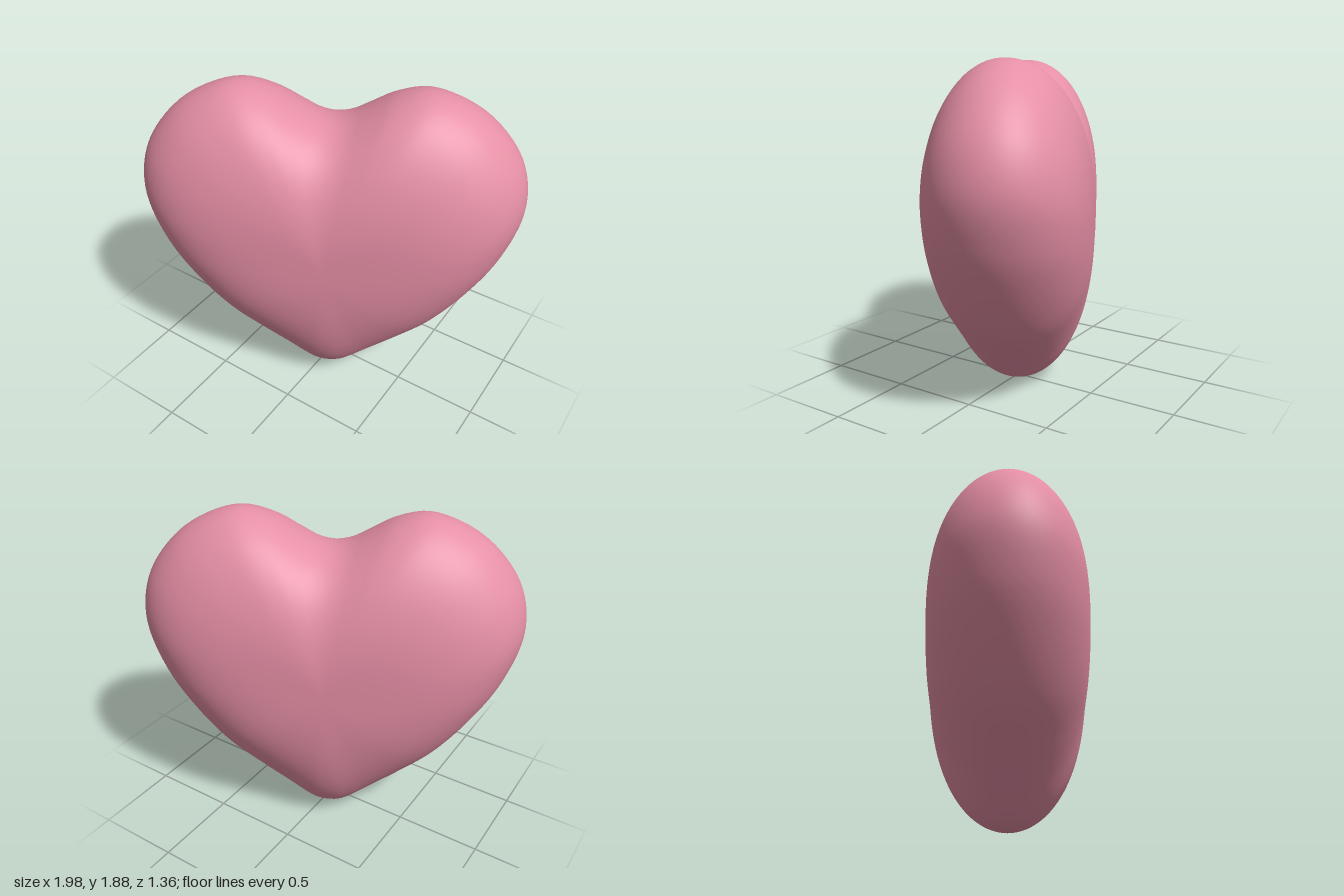
import * as THREE from 'three';
import { mergeVertices } from 'three/addons/utils/BufferGeometryUtils.js';

// Half of the heart outline, from the tip up the side and over to the notch
const HALF = [
  [0, 0], [0.08, 0.015], [0.16, 0.065], [0.26, 0.145], [0.44, 0.29], [0.65, 0.48],
  [0.86, 0.76], [0.99, 1.0], [1.06, 1.27], [1.015, 1.5], [0.87, 1.7], [0.71, 1.815],
  [0.51, 1.88], [0.34, 1.845], [0.21, 1.775], [0.1, 1.715], [0, 1.695],
];
const CENTRE_Y = 1.0;
const HALF_DEPTH = 0.45;

function heartGeometry(around = 160, across = 64) {
  // Mirror the half outline into a closed smooth curve
  const mirrored = HALF.slice(1, -1).reverse().map(([x, y]) => [-x, y]);
  const points = [...HALF, ...mirrored].map(([x, y]) => new THREE.Vector3(x, y, 0));
  const outline = new THREE.CatmullRomCurve3(points, true).getSpacedPoints(around);

  // Shrink the outline toward the centre while it swells forward and back
  const positions = [];
  const index = [];
  for (let j = 0; j <= across; j++) {
    const t = (j / across - 0.5) * Math.PI;
    const s = Math.max(0, Math.cos(t));
    for (let i = 0; i < around; i++) {
      const dx = outline[i].x;
      const dy = outline[i].y - CENTRE_Y;
      const upward = dy / Math.hypot(dx, dy);
      // Fullest at the sides, rounder at the tip, roundest in the notch
      const power = 4 - 0.25 * upward - 1.75 * upward * upward;
      const depth = Math.sign(t) * Math.sqrt(1 - Math.pow(s, power));
      // The valley below the notch fades out toward the middle
      const fill = 0.2 * s * (1 - s) * Math.max(0, upward) * Math.exp(-((dx / 0.3) ** 2));
      positions.push(dx * s, CENTRE_Y + dy * s + fill, depth * HALF_DEPTH);

      if (j < across) {
        const a = j * around + i;
        const b = j * around + ((i + 1) % around);
        index.push(a, b, b + around, a, b + around, a + around);
      }
    }
  }
  const geometry = new THREE.BufferGeometry();
  geometry.setAttribute('position', new THREE.Float32BufferAttribute(positions, 3));
  geometry.setIndex(index);
  const merged = mergeVertices(geometry, 1e-5);
  merged.computeVertexNormals();
  return merged;
}

export function createModel() {
  const group = new THREE.Group();
  group.name = 'heartModel';
  const material = new THREE.MeshStandardMaterial({ color: 0xe58fa5 });
  const heart = new THREE.Mesh(heartGeometry(), material);
  heart.name = 'heart';
  heart.rotation.y = THREE.MathUtils.degToRad(26); // turned toward its left
  group.add(heart);
  return group;
}
